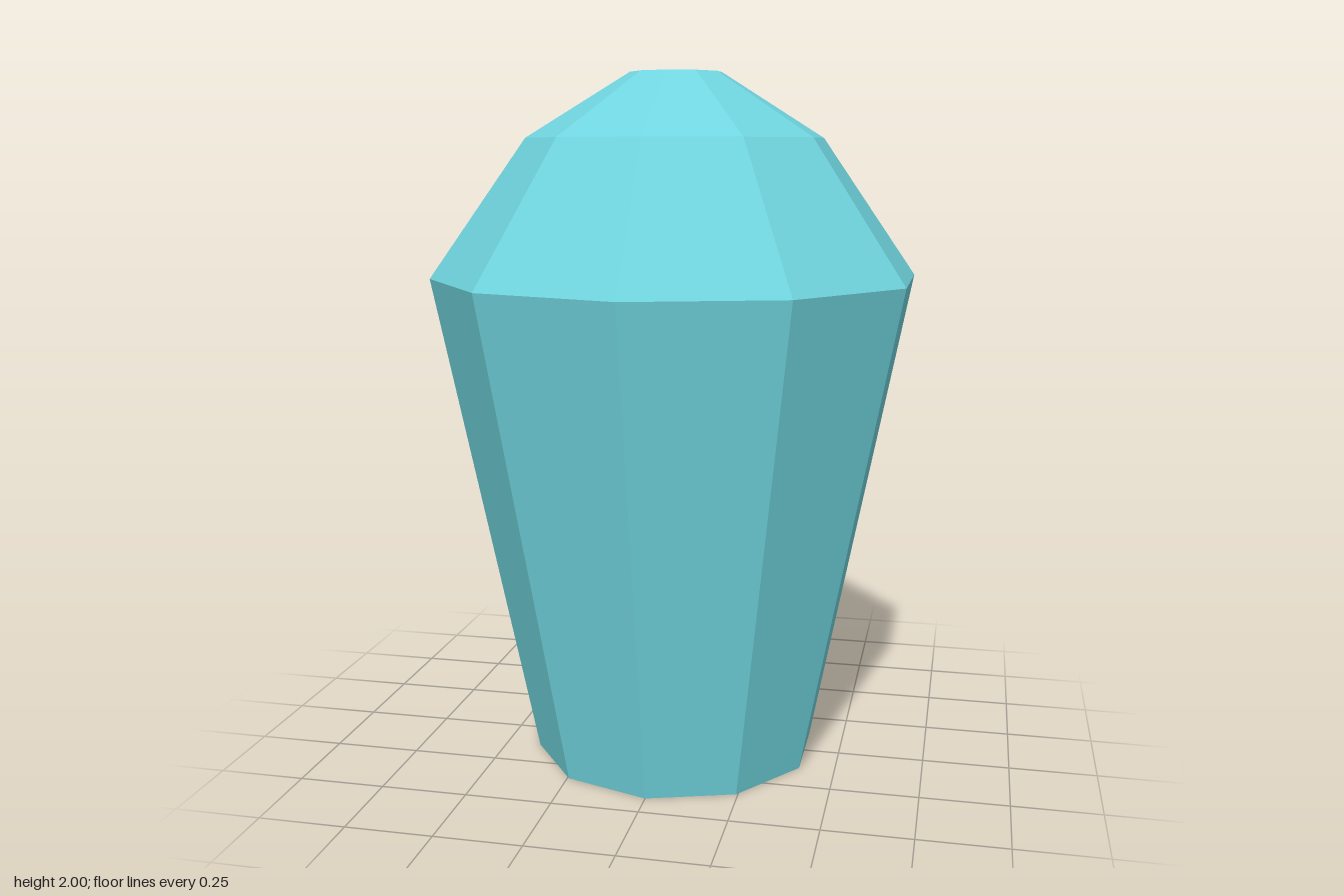
import * as THREE from 'three';

const SIDES = 10;

// One ten-sided tapering band, with a corner facing the front
function band(r0, y0, r1, y1, material, name) {
  const geometry = new THREE.CylinderGeometry(r1, r0, y1 - y0, SIDES, 1, true);
  const mesh = new THREE.Mesh(geometry, material);
  mesh.position.y = (y0 + y1) / 2;
  mesh.name = name;
  return mesh;
}

// Flat ten-sided end face, facing up or down
function cap(r, y, up, material, name) {
  const geometry = new THREE.CircleGeometry(r, SIDES, Math.PI / 2);
  geometry.rotateX(up ? -Math.PI / 2 : Math.PI / 2);
  const mesh = new THREE.Mesh(geometry, material);
  mesh.position.y = y;
  mesh.name = name;
  return mesh;
}

export function createModel() {
  const turquoise = new THREE.MeshStandardMaterial({ color: 0x70d4de, flatShading: true });
  turquoise.name = 'turquoise';

  const model = new THREE.Group();
  model.name = 'facetedGem';

  // Long body widening upwards
  const body = new THREE.Group();
  body.name = 'body';
  body.add(
    cap(0.417, 0, false, turquoise, 'base'),
    band(0.417, 0, 0.705, 1.424, turquoise, 'bodyFacets'),
  );

  // Domed crown in two steps with a small flat top
  const crown = new THREE.Group();
  crown.name = 'crown';
  crown.add(
    band(0.705, 1.424, 0.427, 1.818, turquoise, 'lowerCrownFacets'),
    band(0.427, 1.818, 0.131, 2, turquoise, 'upperCrownFacets'),
    cap(0.131, 2, true, turquoise, 'crownTop'),
  );

  model.add(body, crown);
  return model;
}
